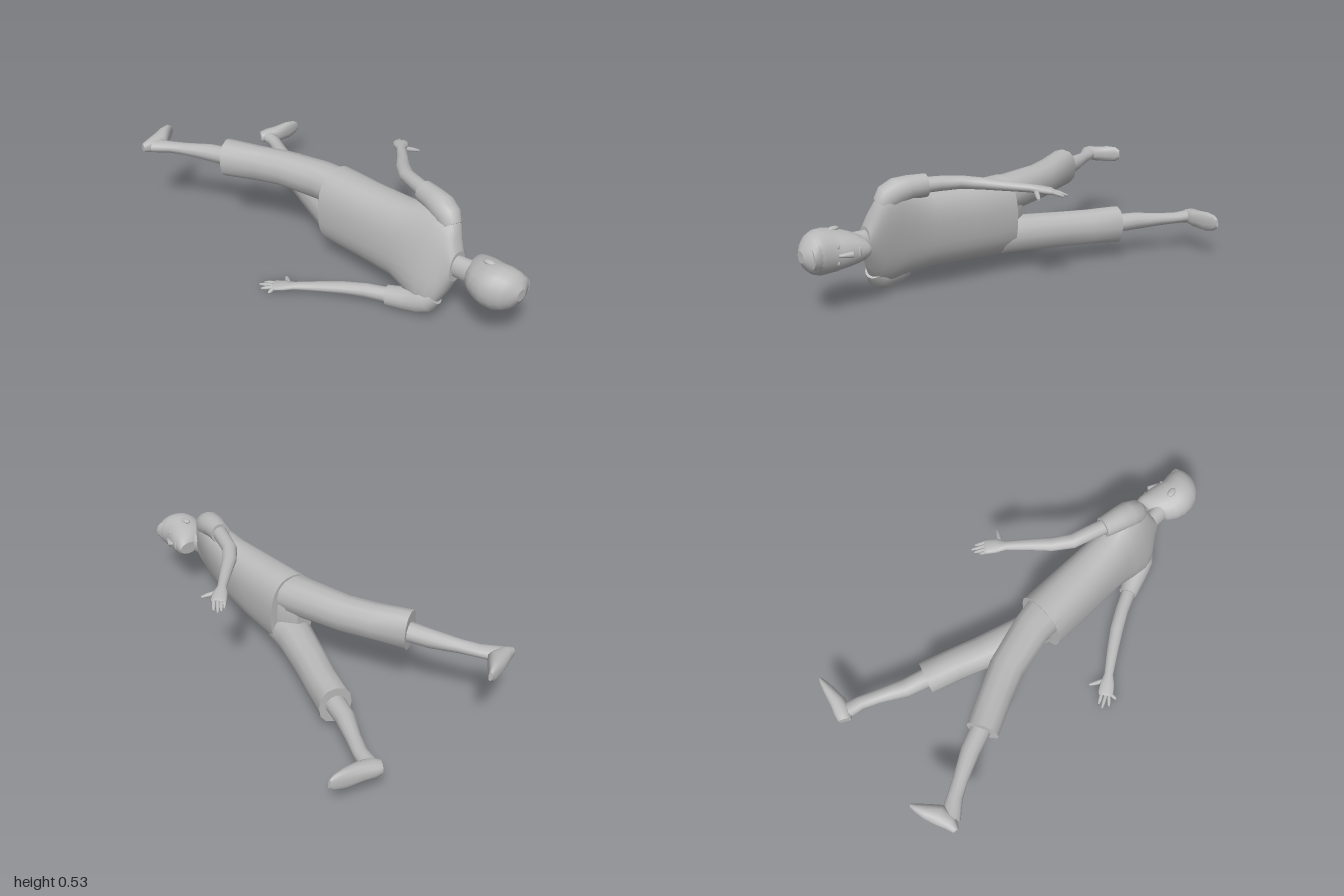
import * as THREE from 'three';

const grey = new THREE.MeshStandardMaterial({ color: 0xb9b9b9 });
grey.name = 'grey';

// Lofts closed rings. Section: [x, y, z, half size along y, half size across, skew of x over y].
// axis fixes the ring plane; power below 1 makes the ring squarer.
function loft(sections, { sides = 16, axis = null, power = 1 } = {}) {
  const pos = [], idx = [];
  const c = sections.map(s => new THREE.Vector3(s[0], s[1], s[2]));
  const round = v => Math.sign(v) * Math.abs(v) ** power;
  const n = sections.length;
  sections.forEach((s, i) => {
    const t = axis ? axis.clone() : c[Math.min(i + 1, n - 1)].clone().sub(c[Math.max(i - 1, 0)]).normalize();
    const u = new THREE.Vector3(0, 1, 0).addScaledVector(t, -t.y).normalize();
    const v = t.clone().cross(u);
    for (let j = 0; j < sides; j++) {
      const a = (j / sides) * Math.PI * 2;
      const p = c[i].clone().addScaledVector(u, round(Math.cos(a)) * s[3]).addScaledVector(v, round(Math.sin(a)) * s[4]);
      p.x += (s[5] || 0) * (p.y - s[1]);
      pos.push(p.x, p.y, p.z);
    }
  });
  for (let i = 0; i < n - 1; i++) for (let j = 0; j < sides; j++) {
    const k = (j + 1) % sides, a = i * sides + j, b = i * sides + k;
    idx.push(a, b, a + sides, b, b + sides, a + sides);
  }
  // flat end caps with their own vertices
  for (const [ring, last] of [[0, false], [n - 1, true]]) {
    const start = pos.length / 3;
    for (let j = 0; j < sides; j++) pos.push(...pos.slice((ring * sides + j) * 3, (ring * sides + j) * 3 + 3));
    pos.push(c[ring].x, c[ring].y, c[ring].z);
    for (let j = 0; j < sides; j++) {
      const a = start + j, b = start + (j + 1) % sides;
      idx.push(start + sides, last ? a : b, last ? b : a);
    }
  }
  const g = new THREE.BufferGeometry();
  g.setAttribute('position', new THREE.Float32BufferAttribute(pos, 3));
  g.setIndex(idx);
  g.computeVertexNormals();
  return g;
}

export function createModel() {
  const model = new THREE.Group();
  const Z = new THREE.Vector3(0, 0, 1);
  const add = (name, geometry) => {
    const m = new THREE.Mesh(geometry, grey);
    m.name = name;
    model.add(m);
    return m;
  };
  const ball = (name, x, y, z, sx, sy, sz) => {
    const m = add(name, new THREE.SphereGeometry(1, 12, 8));
    m.position.set(x, y, z);
    m.scale.set(sx, sy, sz);
    return m;
  };

  // Shirt, with the shoulders turned against the hips
  add('shirt', loft([
    [-0.03, 0.26, -0.02, 0.183, 0.12, 0],
    [-0.03, 0.262, 0.2, 0.175, 0.115, 0.05],
    [-0.03, 0.265, 0.4, 0.175, 0.103, 0.13],
    [-0.035, 0.267, 0.5, 0.2, 0.094, 0.22],
    [-0.038, 0.267, 0.57, 0.225, 0.083, 0.26],
    [-0.037, 0.267, 0.62, 0.212, 0.071, 0.27],
    [-0.035, 0.267, 0.65, 0.175, 0.06, 0.25],
    [-0.033, 0.266, 0.672, 0.125, 0.053, 0.18],
    [-0.03, 0.265, 0.695, 0.066, 0.046, 0.1],
  ], { sides: 28, axis: Z, power: 0.85 }));
  add('trouserSeat', loft([
    [-0.03, 0.26, -0.11, 0.12, 0.04],
    [-0.03, 0.26, -0.05, 0.16, 0.075],
    [-0.03, 0.26, 0.03, 0.172, 0.1],
  ], { sides: 20, axis: Z, power: 0.9 }));

  // Neck and head
  add('neck', loft([
    [-0.03, 0.265, 0.64, 0.058, 0.045],
    [-0.027, 0.265, 0.7, 0.05, 0.038],
    [-0.02, 0.265, 0.79, 0.053, 0.045],
  ], { axis: Z }));
  const skull = [ // z, back, front, half width
    [0.73, -0.005, 0.09, 0.03], [0.745, -0.035, 0.095, 0.05], [0.775, -0.08, 0.092, 0.066],
    [0.81, -0.103, 0.09, 0.078], [0.85, -0.115, 0.083, 0.087], [0.88, -0.117, 0.074, 0.093],
    [0.92, -0.11, 0.078, 0.093], [0.955, -0.09, 0.08, 0.08], [0.98, -0.06, 0.068, 0.058], [0.998, -0.025, 0.025, 0.025],
  ];
  add('head', loft(skull.map(([z, b, f, w]) => [(b + f) / 2, 0.265, z, w, (f - b) / 2]), { sides: 20, axis: Z, power: 0.95 }));
  add('hairFringe', loft([
    [0.045, 0.265, 0.9, 0.045, 0.02], [0.047, 0.265, 0.945, 0.06, 0.034], [0.042, 0.265, 0.975, 0.045, 0.042],
  ], { sides: 14, axis: Z }));
  add('nose', loft([
    [0.085, 0.265, 0.808, 0.008, 0.008], [0.096, 0.265, 0.82, 0.014, 0.015], [0.08, 0.265, 0.872, 0.006, 0.006],
  ], { sides: 10, axis: Z }));
  ball('lips', 0.087, 0.265, 0.783, 0.008, 0.024, 0.006);
  for (const s of [-1, 1]) {
    ball('eye', 0.066, 0.265 + s * 0.034, 0.868, 0.01, 0.013, 0.006);
    ball('ear', -0.015, 0.265 + s * 0.086, 0.843, 0.016, 0.01, 0.027).rotation.y = 0.2;
  }

  // Sleeves, growing out of the shoulders
  add('leftSleeve', loft([
    [0.002, 0.415, 0.625, 0.045, 0.045], [0.009, 0.445, 0.6, 0.06, 0.056], [0.017, 0.467, 0.56, 0.06, 0.059],
    [0.026, 0.478, 0.51, 0.052, 0.054], [0.043, 0.48, 0.435, 0.05, 0.046],
  ], { sides: 16 }));
  add('rightSleeve', loft([
    [-0.08, 0.115, 0.625, 0.045, 0.045], [-0.093, 0.088, 0.6, 0.06, 0.056], [-0.107, 0.069, 0.56, 0.06, 0.058],
    [-0.13, 0.058, 0.51, 0.05, 0.052], [-0.163, 0.052, 0.435, 0.046, 0.043],
  ], { sides: 16 }));

  // Arms, each running into a flat palm
  add('leftArm', loft([
    [0.03, 0.48, 0.48, 0.036, 0.035], [0.062, 0.482, 0.38, 0.033, 0.034], [0.09, 0.48, 0.29, 0.029, 0.034],
    [0.145, 0.473, 0.215, 0.026, 0.032], [0.22, 0.465, 0.14, 0.021, 0.026], [0.285, 0.458, 0.07, 0.018, 0.021],
    [0.315, 0.454, 0.04, 0.017, 0.034], [0.345, 0.448, 0.008, 0.015, 0.036], [0.353, 0.446, 0, 0.01, 0.032],
  ], { sides: 12 }));
  add('rightArm', loft([
    [-0.145, 0.055, 0.48, 0.035, 0.035], [-0.205, 0.053, 0.35, 0.031, 0.032], [-0.255, 0.047, 0.265, 0.026, 0.032],
    [-0.32, 0.036, 0.17, 0.021, 0.027], [-0.382, 0.025, 0.085, 0.016, 0.022], [-0.408, 0.021, 0.05, 0.013, 0.034],
    [-0.435, 0.016, 0.012, 0.011, 0.037], [-0.442, 0.015, 0.003, 0.008, 0.032],
  ], { sides: 12 }));

  // Fingers: [root x, root z, tip x, tip z]; the last one is the thumb
  const fingers = (name, rootY, tipY, list) => list.forEach(([x, z, ex, ez], i) => {
    const r = i === 4 ? 0.011 : 0.009;
    add(name, loft([
      [x, rootY, z, r, r], [x + (ex - x) * 0.6, rootY + (tipY - rootY) * 0.6, z + (ez - z) * 0.6, r, r],
      [ex, tipY, ez, r * 0.5, r * 0.5],
    ], { sides: 8 }));
  });
  fingers('leftFinger', 0.449, 0.43, [
    [0.325, -0.008, 0.348, -0.035], [0.337, -0.002, 0.37, -0.047], [0.35, 0.006, 0.388, -0.047],
    [0.362, 0.018, 0.393, -0.022], [0.315, 0.062, 0.375, 0.098],
  ]);
  fingers('rightFinger', 0.016, 0.009, [
    [-0.46, 0.028, -0.487, 0.028], [-0.454, 0.016, -0.488, -0.02], [-0.442, 0.006, -0.472, -0.05],
    [-0.425, -0.004, -0.447, -0.046], [-0.385, 0.05, -0.35, -0.012],
  ]);

  // Trouser legs, widening to angular cuffs
  add('leftTrouserLeg', loft([
    [-0.035, 0.348, 0.01, 0.085, 0.095], [-0.05, 0.355, -0.1, 0.085, 0.086], [-0.105, 0.36, -0.3, 0.08, 0.078],
    [-0.165, 0.362, -0.42, 0.081, 0.074], [-0.238, 0.365, -0.565, 0.09, 0.073],
  ], { sides: 12, power: 0.9 }));
  add('rightTrouserLeg', loft([
    [-0.02, 0.168, 0.01, 0.085, 0.095], [0.008, 0.164, -0.1, 0.085, 0.083], [0.075, 0.161, -0.3, 0.083, 0.075],
    [0.118, 0.16, -0.42, 0.083, 0.073], [0.164, 0.158, -0.562, 0.088, 0.073],
  ], { sides: 12, power: 0.9 }));

  // Shins
  add('leftShin', loft([
    [-0.215, 0.362, -0.53, 0.045, 0.046], [-0.265, 0.362, -0.66, 0.04, 0.042], [-0.325, 0.361, -0.77, 0.029, 0.033],
    [-0.366, 0.36, -0.84, 0.026, 0.034], [-0.415, 0.36, -0.91, 0.03, 0.045],
  ], { sides: 12 }));
  add('rightShin', loft([
    [0.153, 0.162, -0.53, 0.045, 0.046], [0.192, 0.163, -0.66, 0.041, 0.042], [0.245, 0.164, -0.77, 0.03, 0.032],
    [0.279, 0.165, -0.85, 0.026, 0.032], [0.297, 0.165, -0.925, 0.03, 0.038],
  ], { sides: 12 }));

  // Shoes, lofted from heel to toe
  add('leftShoe', loft([
    [-0.47, 0.36, -0.925, 0.02, 0.014], [-0.43, 0.36, -0.92, 0.034, 0.032], [-0.375, 0.362, -0.93, 0.037, 0.044],
    [-0.325, 0.365, -0.962, 0.041, 0.031], [-0.285, 0.367, -0.982, 0.037, 0.017], [-0.263, 0.368, -0.99, 0.02, 0.008],
  ], { sides: 14, power: 0.85 }));
  add('rightShoe', loft([
    [0.265, 0.165, -0.953, 0.024, 0.03], [0.295, 0.165, -0.937, 0.035, 0.04], [0.35, 0.165, -0.922, 0.04, 0.036],
    [0.42, 0.167, -0.916, 0.046, 0.025], [0.468, 0.172, -0.912, 0.036, 0.014], [0.488, 0.175, -0.91, 0.02, 0.007],
  ], { sides: 14, power: 0.85 }));

  return model;
}
